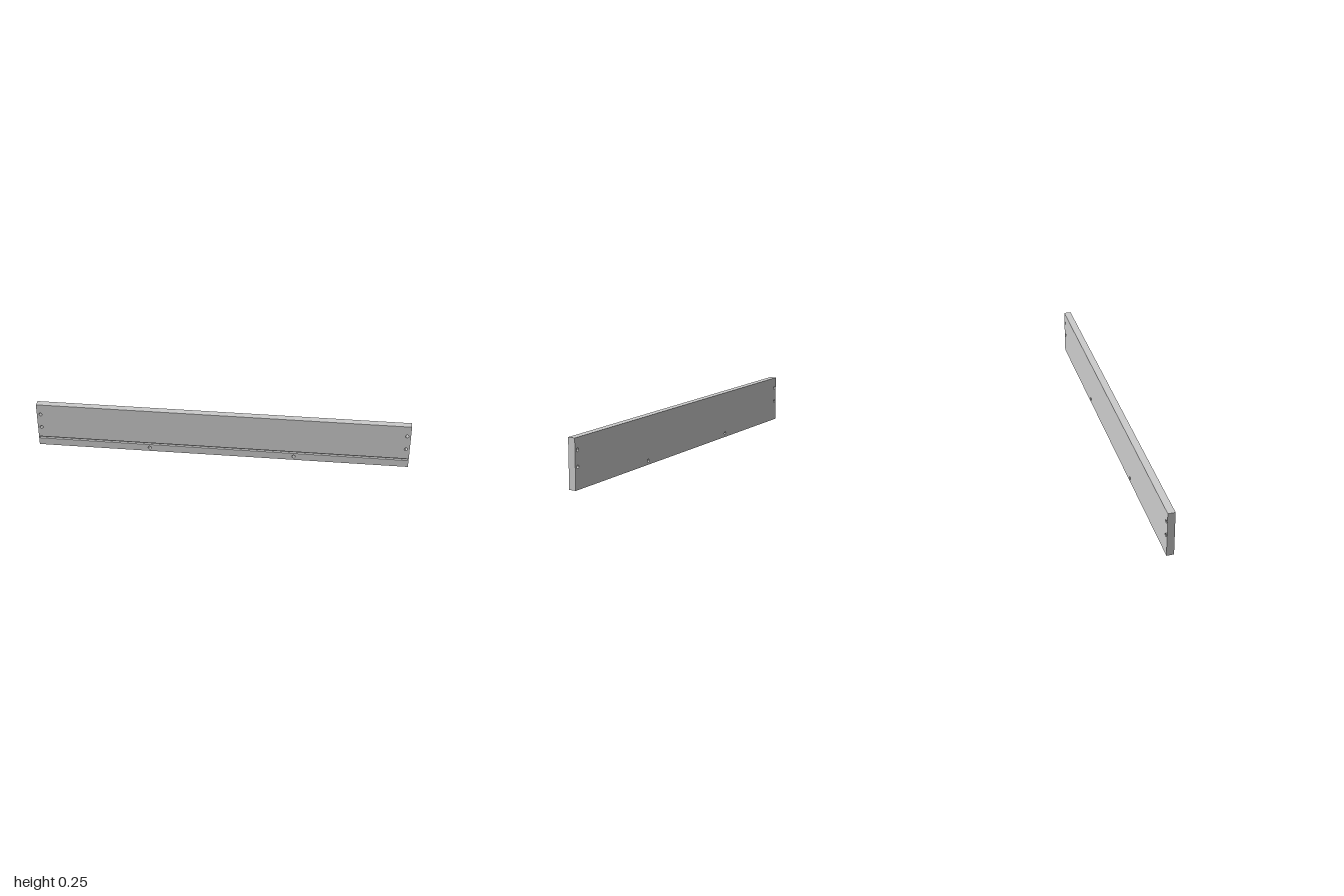
import * as THREE from 'three';
import { mergeGeometries, toCreasedNormals } from 'three/addons/utils/BufferGeometryUtils.js';

const W = 2, H = 0.253, T = 0.038;
const HOLE_R = 0.009;
const GROOVE = { y0: 0.041, y1: 0.052, depth: 0.013, inset: 0.005 };

// Counter-clockwise rectangle corners
const rect = (x0, y0, x1, y1) => [[x0, y0], [x1, y0], [x1, y1], [x0, y1]]
  .map(([x, y]) => new THREE.Vector2(x, y));

// Clockwise circle, so its walls face into the hole
function circle(cx, cy, r, n = 24) {
  return Array.from({ length: n }, (_, i) => {
    const a = -i / n * Math.PI * 2;
    return new THREE.Vector2(cx + r * Math.cos(a), cy + r * Math.sin(a));
  });
}

// Strip of quads around a closed loop, from depth z0 to z1
function walls(loop, z0, z1) {
  const pos = [];
  loop.forEach((a, i) => {
    const b = loop[(i + 1) % loop.length];
    pos.push(a.x, a.y, z0, b.x, b.y, z0, b.x, b.y, z1);
    pos.push(a.x, a.y, z0, b.x, b.y, z1, a.x, a.y, z1);
  });
  const g = new THREE.BufferGeometry();
  g.setAttribute('position', new THREE.Float32BufferAttribute(pos, 3));
  return g;
}

// Flat face with holes, facing +z, or -z when mirrored
function face(outline, holes, z, back = false) {
  const shape = new THREE.Shape(outline);
  shape.holes = holes.map((h) => new THREE.Path(h));
  const g = new THREE.ShapeGeometry(shape).toNonIndexed();
  g.deleteAttribute('uv');
  g.deleteAttribute('normal');
  if (back) g.rotateY(Math.PI); // layout is symmetric in x
  return g.translate(0, 0, z);
}

export function createModel() {
  const group = new THREE.Group();
  group.name = 'drilledBoard';

  const outline = rect(-W / 2, 0, W / 2, H);

  // Two screw holes near each end and one per side along the bottom edge
  const holes = [];
  for (const s of [-1, 1]) {
    for (const [x, y] of [[0.98, 0.193], [0.98, 0.112], [0.39, 0.021]]) {
      holes.push(circle(s * x, y, HOLE_R));
    }
  }

  // Long panel groove in the front face
  const gx = W / 2 - GROOVE.inset;
  const slot = rect(-gx, GROOVE.y0, gx, GROOVE.y1);
  const slotHole = [...slot].reverse();
  const floorZ = T / 2 - GROOVE.depth;

  const geometry = mergeGeometries([
    face(outline, [...holes, slotHole], T / 2),
    face(outline, holes, -T / 2, true),
    walls(outline, -T / 2, T / 2),
    ...holes.map((h) => walls(h, -T / 2, T / 2)),
    walls(slotHole, floorZ, T / 2),
    face(slot, [], floorZ),
  ]);

  const board = new THREE.Mesh(
    toCreasedNormals(geometry, 0.6),
    new THREE.MeshStandardMaterial({ color: 0xcccccc }),
  );
  board.name = 'groovedBoard';
  group.add(board);
  return group;
}
